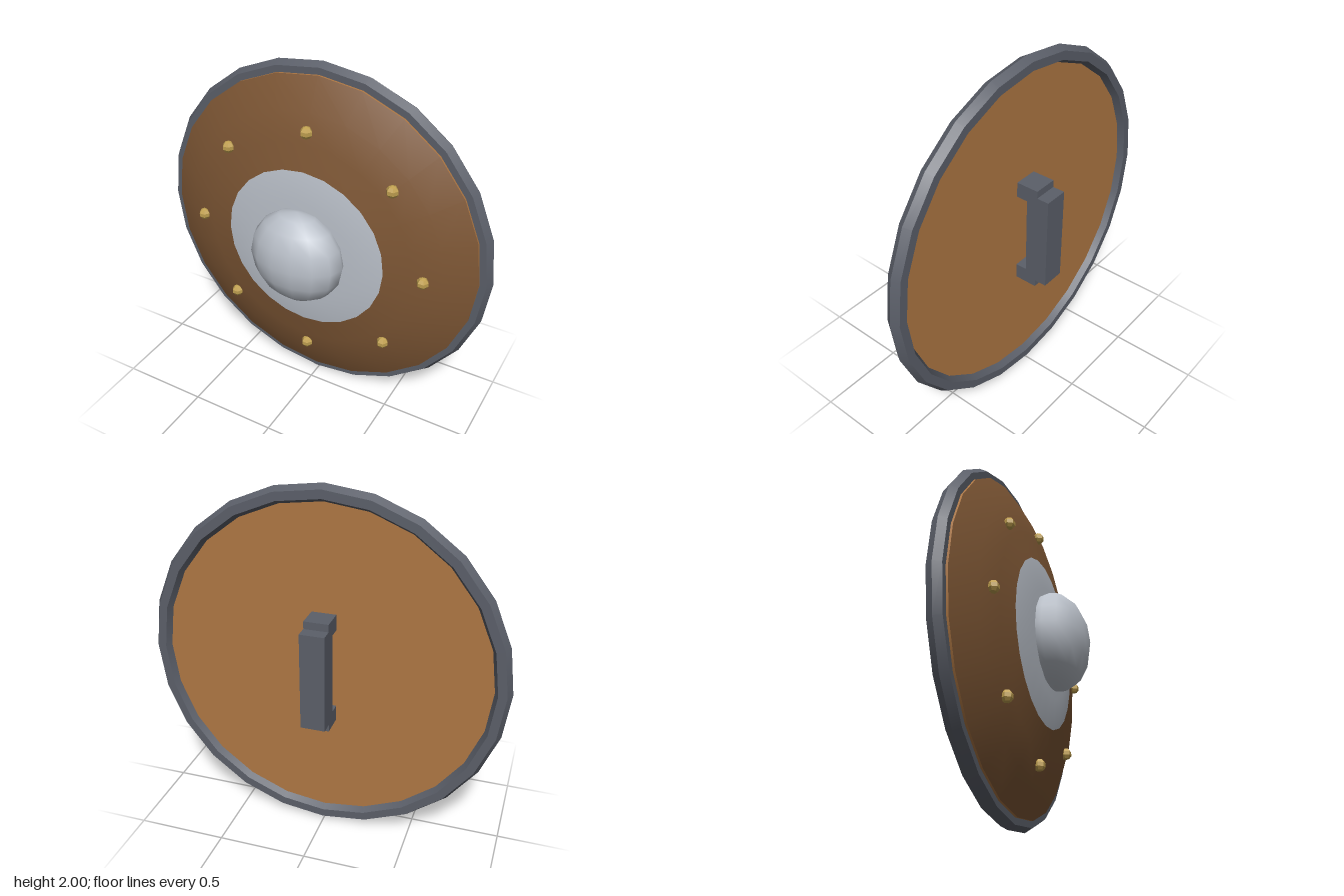
import * as THREE from 'three';

const material = (name, color, flatShading = false) => {
  const m = new THREE.MeshStandardMaterial({ color, flatShading });
  m.name = name;
  return m;
};

export function createModel() {
  const wood = material('wood', 0x7d5634);
  const lightWood = material('light wood', 0xae7743);
  const iron = material('dark iron', 0x5b5f69);
  const steel = material('pale steel', 0xbac0c9);
  const brass = material('brass', 0xc0a050, true);

  const shield = new THREE.Group();
  shield.name = 'roundShield';
  const SIDES = 24;

  const add = (name, geometry, mat, x = 0, y = 0, z = 0) => {
    const mesh = new THREE.Mesh(geometry, mat);
    mesh.name = name;
    mesh.position.set(x, y + 1, z);
    shield.add(mesh);
    return mesh;
  };

  // Turned part about the z axis; profile of [radius, z] from back to front
  const turned = (name, profile, mat) => {
    const points = profile.map(([r, z]) => new THREE.Vector2(r, z));
    return add(name, new THREE.LatheGeometry(points, SIDES).rotateX(Math.PI / 2), mat);
  };

  // Wooden board: light back and edge, darker domed face
  turned('boardBack', [[0, -0.125], [0.94, -0.125]], lightWood);
  turned('boardEdge', [[0.94, -0.125], [0.94, -0.068]], lightWood);
  turned('boardFace', [[0.94, -0.068], [0.775, 0.015], [0.62, 0.055], [0.475, 0.087]], wood);

  // Steel centre plate following the dome, with the boss on it
  turned('centrePlate', [[0.475, 0.087], [0.31, 0.115], [0, 0.117]], steel);
  add('boss', new THREE.SphereGeometry(0.272, 14, 8).scale(1, 1, 0.66), steel, 0, 0, 0.15);

  // Six-sided iron rim, one band for each side so its long edges stay sharp
  const rimPoint = (k) => {
    const a = (k * Math.PI) / 3;
    return [0.953 + 0.047 * Math.cos(a), -0.12 + 0.047 * Math.sin(a)];
  };
  for (let k = 0; k < 6; k++) turned('rimBand', [rimPoint(k), rimPoint(k + 1)], iron);

  // Ring of eight nails
  for (let i = 0; i < 8; i++) {
    const a = (i * Math.PI) / 4;
    add('nail', new THREE.SphereGeometry(0.034, 6, 5), brass,
      0.682 * Math.cos(a), 0.682 * Math.sin(a), 0.05);
  }

  // Handle: upright grip on two brackets
  add('grip', new THREE.BoxGeometry(0.136, 0.55, 0.135), iron, 0, 0, -0.2575);
  for (const s of [1, -1]) {
    add('gripBracket', new THREE.BoxGeometry(0.136, 0.088, 0.135), iron, 0, s * 0.273, -0.1875);
  }

  return shield;
}
